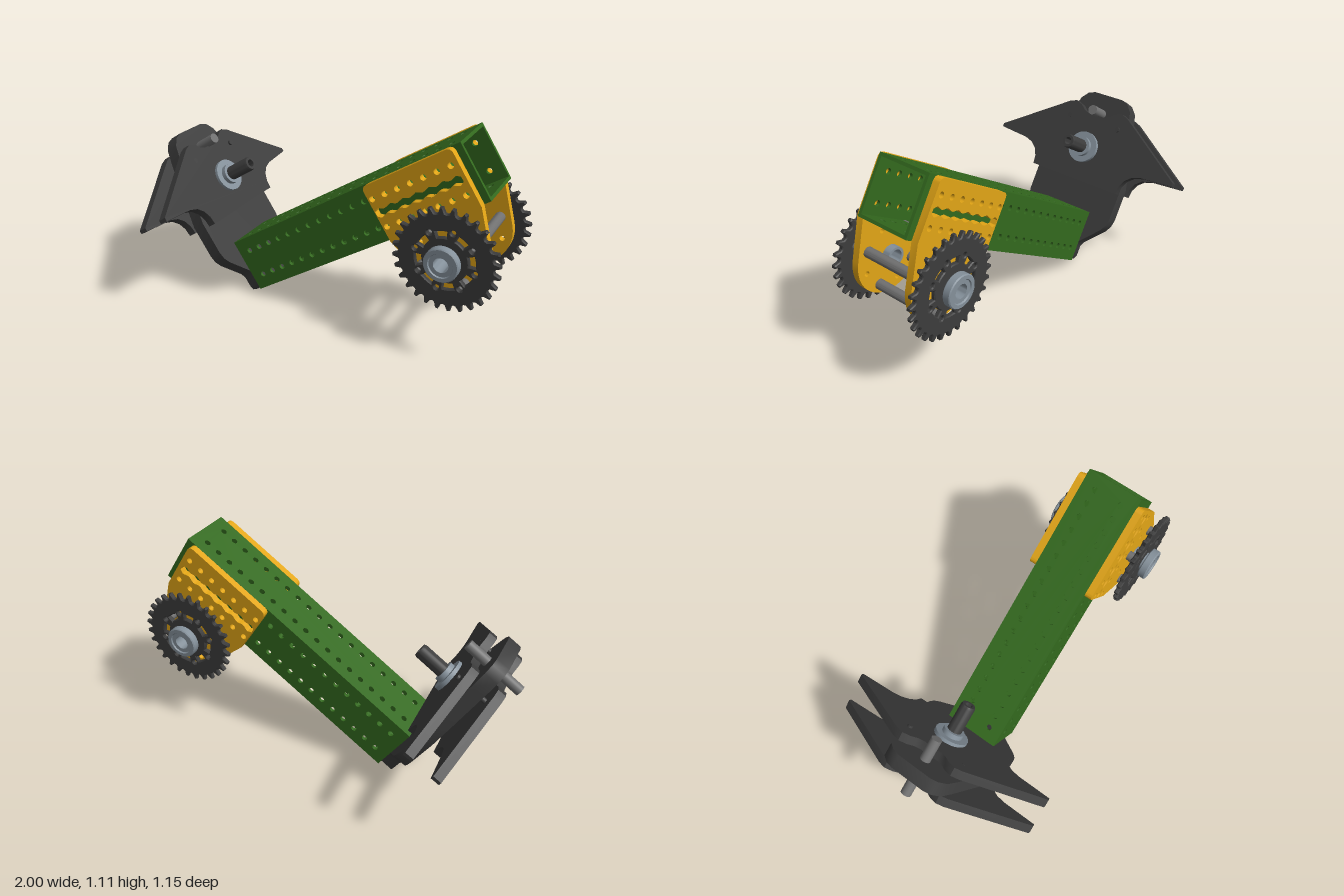
import * as THREE from 'three';
import { toCreasedNormals } from 'three/addons/utils/BufferGeometryUtils.js';

const mat = (color) => new THREE.MeshStandardMaterial({ color });
const GREEN = mat(0x33691e), YELLOW = mat(0xe2a516), DARK = mat(0x3c3c3c);
const STEEL = mat(0x84909a), ROD = mat(0x707070);

// Arm frame: x runs along the beam, y across it, z sideways
const LEN = 1.49, HALF = 0.148, WALL = 0.016, PITCH = 0.0745;
const AXLE = { x: 1.198, y: -0.305 };

function mesh(name, geometry, material, parent) {
  const m = new THREE.Mesh(geometry, material);
  m.name = name;
  parent.add(m);
  return m;
}

function punch(shape, x, y, r) {
  shape.holes.push(new THREE.Path().absarc(x, y, r, 0, Math.PI * 2, true));
}

function extrude(shape, depth, bevel = 0) {
  const g = new THREE.ExtrudeGeometry(shape, {
    depth: depth - 2 * bevel, curveSegments: 8, bevelEnabled: bevel > 0,
    bevelSize: bevel, bevelThickness: bevel, bevelOffset: -bevel, bevelSegments: 1,
  });
  g.translate(0, 0, -depth / 2 + bevel);
  return toCreasedNormals(g, 0.6);
}

// Ring-shaped solid from (radius, height) points, turned about y
function turned(points, segments = 32) {
  const pts = [...points, points[0]].map(([r, h]) => new THREE.Vector2(r, h));
  return toCreasedNormals(new THREE.LatheGeometry(pts, segments), 0.6);
}

// One perforated wall of the square tube
function wall(halfWidth) {
  const s = new THREE.Shape();
  s.moveTo(0, -halfWidth).lineTo(LEN, -halfWidth).lineTo(LEN, halfWidth).lineTo(0, halfWidth).closePath();
  for (let i = 1; i < 20; i++) for (const y of [-0.0745, 0.0745]) punch(s, i * PITCH, y, 0.0155);
  return extrude(s, WALL);
}

// Side bracket: square top, tapering to a round end about the axle
function bracketGeometry() {
  const s = new THREE.Shape(), l = 0.945, r = 1.455, c = 0.03, t = 0.148;
  const a = THREE.MathUtils.degToRad(197.5);
  s.moveTo(r, -t).lineTo(r, t - c).quadraticCurveTo(r, t, r - c, t);
  s.lineTo(l + c, t).quadraticCurveTo(l, t, l, t - c).lineTo(l, -t);
  s.absarc(AXLE.x, AXLE.y, 0.195, a, 3 * Math.PI - a, false);
  s.closePath();
  for (let i = 13; i < 20; i++) for (const y of [-0.0745, 0.0745]) punch(s, i * PITCH, y, 0.0155);
  punch(s, AXLE.x, AXLE.y, 0.045);
  for (let k = 0; k < 8; k++) {
    const b = k * Math.PI / 4;
    if (k !== 2) punch(s, AXLE.x + 0.15 * Math.cos(b), AXLE.y + 0.15 * Math.sin(b), 0.014);
  }
  // scalloped slot
  const x0 = 13 * PITCH, x1 = 19 * PITCH, up = [], down = [];
  for (let i = 0; i <= 48; i++) {
    const x = x0 + (x1 - x0) * i / 48;
    const w = 0.019 + 0.006 * Math.cos((i / 8) * Math.PI * 2);
    up.push(new THREE.Vector2(x, w));
    down.unshift(new THREE.Vector2(x, -w));
  }
  s.holes.push(new THREE.Path([
    new THREE.Vector2(x0 - 0.02, -0.012), new THREE.Vector2(x0 - 0.02, 0.012), ...up,
    new THREE.Vector2(x1 + 0.02, 0.012), new THREE.Vector2(x1 + 0.02, -0.012), ...down,
  ]));
  return extrude(s, 0.037);
}

function sprocketGeometry(teeth = 28) {
  const pts = [], step = Math.PI * 2 / teeth;
  for (let i = 0; i < teeth; i++) {
    for (const [f, r] of [[-0.5, 0.23], [-0.3, 0.234], [-0.12, 0.262], [0.12, 0.262], [0.3, 0.234]]) {
      const a = (i + f) * step;
      pts.push(new THREE.Vector2(r * Math.cos(a), r * Math.sin(a)));
    }
  }
  const s = new THREE.Shape(pts);
  punch(s, 0, 0, 0.045);
  for (let k = 0; k < 8; k++) {
    const a = k * Math.PI / 4, m = a + Math.PI / 8;
    punch(s, 0.15 * Math.cos(a), 0.15 * Math.sin(a), 0.013);
    const slot = new THREE.Path();
    slot.absarc(0, 0, 0.147, m - 0.2, m + 0.2, false);
    slot.absarc(0, 0, 0.115, m + 0.2, m - 0.2, true);
    slot.closePath();
    s.holes.push(slot);
  }
  return extrude(s, 0.026, 0.005);
}

// Symmetric plate outline given one half as (z, y) points; corners rounded by curve sampling
function mirrored(half) {
  const left = half.map(([z, y]) => new THREE.Vector2(-z, y)).reverse();
  return new THREE.Shape([...half.map(([z, y]) => new THREE.Vector2(z, y)), ...left]);
}

function createModel() {
  const model = new THREE.Group();
  model.name = 'roboticArm';
  const arm = new THREE.Group();
  arm.name = 'armAssembly';
  arm.position.set(-0.4375, 0.171, 0);
  arm.rotation.z = THREE.MathUtils.degToRad(33.3);
  model.add(arm);

  // Square tube beam
  const beam = new THREE.Group();
  beam.name = 'beam';
  arm.add(beam);
  const side = wall(HALF), cap = wall(HALF - WALL).rotateX(Math.PI / 2);
  for (const s of [1, -1]) {
    mesh('beamSideWall', side, GREEN, beam).position.z = s * (HALF - WALL / 2);
    mesh('beamFaceWall', cap, GREEN, beam).position.y = s * (HALF - WALL / 2);
  }

  // Brackets, sprockets and flanged hubs on both sides
  const bracket = bracketGeometry(), sprocket = sprocketGeometry();
  const hub = turned([[0.037, 0.11], [0.05, 0.11], [0.05, 0.2], [0.062, 0.2], [0.062, 0.225],
    [0.05, 0.225], [0.05, 0.262], [0.08, 0.262], [0.085, 0.267], [0.085, 0.3], [0.08, 0.305],
    [0.062, 0.305], [0.058, 0.298], [0.037, 0.298]]);
  for (const s of [1, -1]) {
    mesh('sideBracket', bracket, YELLOW, arm).position.z = s * 0.167;
    mesh('sprocket', sprocket, DARK, arm).position.set(AXLE.x, AXLE.y, s * 0.237);
    const h = mesh('axleHub', hub, STEEL, arm);
    h.position.set(AXLE.x, AXLE.y, 0);
    h.rotation.x = s * Math.PI / 2;
  }

  // Hollow spacer rods between the sprockets
  const rod = turned([[0.012, -0.225], [0.026, -0.225], [0.026, 0.225], [0.012, 0.225]], 20).rotateX(Math.PI / 2);
  for (let k = 0; k < 4; k++) {
    const a = k * Math.PI / 2;
    mesh('spacerRod', rod, ROD, arm).position.set(AXLE.x + 0.15 * Math.cos(a), AXLE.y + 0.15 * Math.sin(a), 0);
  }

  // Mounting plate across the lower end of the beam
  const gripper = new THREE.Group();
  gripper.name = 'gripper';
  arm.add(gripper);
  const plateShape = mirrored([[0.1, -0.152], [0.122, -0.143], [0.132, -0.12], [0.132, -0.06], [0.148, -0.03],
    [0.25, 0.075], [0.272, 0.11], [0.28, 0.15], [0.28, 0.33], [0.25, 0.45], [0.19, 0.68],
    [0.165, 0.76], [0.13, 0.798], [0.09, 0.812]]);
  mesh('mountingPlate', extrude(plateShape, 0.074).rotateY(Math.PI / 2), DARK, gripper).position.x = -0.037;

  // Pair of pointed claw plates sandwiching the mounting plate
  const claws = new THREE.Group();
  claws.name = 'claws';
  claws.position.x = -0.037;
  claws.rotation.y = THREE.MathUtils.degToRad(2);
  gripper.add(claws);
  const clawShape = mirrored([[0.28, 0.3], [0.285, 0.345], [0.305, 0.385], [0.34, 0.415], [0.39, 0.43],
    [0.57, 0.443], [0.57, 0.462], [0.19, 0.715], [0.15, 0.73], [0.11, 0.715], [0.08, 0.69], [0.05, 0.68]]);
  const claw = extrude(clawShape, 0.046).rotateY(Math.PI / 2);
  for (const s of [1, -1]) mesh('clawPlate', claw, DARK, claws).position.x = s * 0.08;

  // Pivot shaft, collars and cross pin through the claws
  const along = (name, r, x0, x1, y, z, material) => {
    const g = new THREE.CylinderGeometry(r, r, x1 - x0, 28).rotateZ(Math.PI / 2);
    mesh(name, g, material, gripper).position.set((x0 + x1) / 2, y, z);
  };
  const shaft = turned([[0.02, -0.2], [0.038, -0.2], [0.038, 0.25], [0.034, 0.262], [0.02, 0.262]]).rotateZ(-Math.PI / 2);
  mesh('pivotShaft', shaft, DARK, gripper).position.y = 0.487;
  along('frontCollar', 0.088, 0.04, 0.085, 0.487, 0, STEEL);
  along('frontCollarStep', 0.055, 0.085, 0.11, 0.487, 0, STEEL);
  along('rearCollar', 0.088, -0.185, -0.13, 0.487, 0, STEEL);
  along('crossPin', 0.027, -0.204, 0.122, 0.7, 0, ROD);
  for (const z of [0.16, -0.16]) along('clawBolt', 0.014, -0.15, 0.072, 0.64, z, DARK);

  return model;
}

export { createModel };
